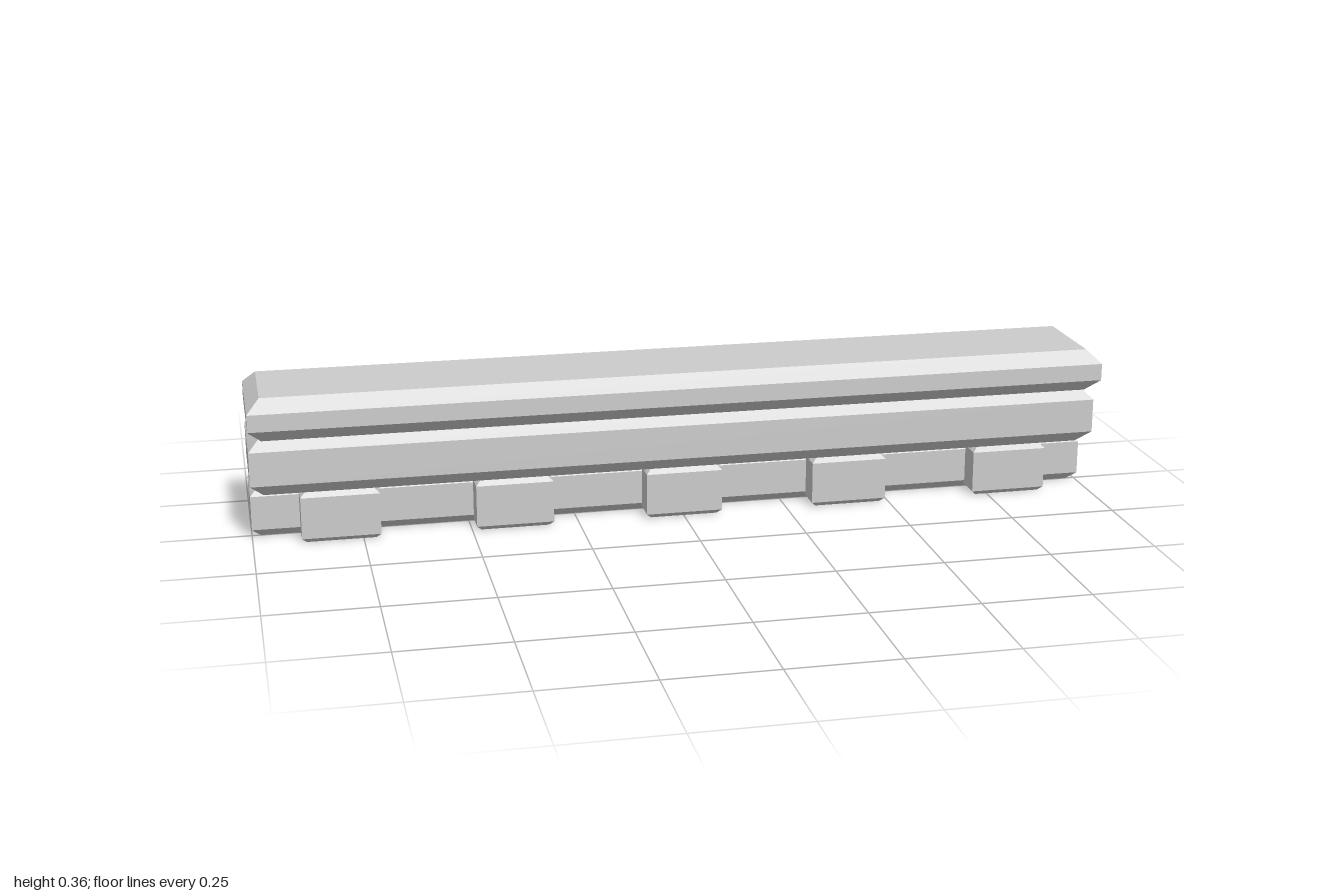
import * as THREE from 'three';

const material = new THREE.MeshStandardMaterial({ color: 0xcccccc, flatShading: true });

// Box whose top and bottom rims are chamfered by c, vertical edges left sharp
function chamferedSlab(name, [x0, x1], [y0, y1], [z0, z1], c) {
  const w = x1 - x0, h = y1 - y0, d = z1 - z0;
  const box = new THREE.BoxGeometry(w, h, d, 1, 3, 1);
  const p = box.attributes.position;
  for (let i = 0; i < p.count; i++) {
    const x = p.getX(i), y = p.getY(i), z = p.getZ(i);
    if (Math.abs(y) > h / 4) {
      p.setXYZ(i, x - Math.sign(x) * c, y, z - Math.sign(z) * c);
    } else {
      p.setY(i, Math.sign(y) * (h / 2 - c));
    }
  }
  const geometry = box.toNonIndexed();
  geometry.computeVertexNormals();
  const mesh = new THREE.Mesh(geometry, material);
  mesh.name = name;
  mesh.position.set((x0 + x1) / 2, (y0 + y1) / 2, (z0 + z1) / 2);
  return mesh;
}

export function createModel() {
  const group = new THREE.Group();
  group.name = 'cornice';

  // Three stacked mouldings, flush at the back and stepping forward going up
  group.add(
    chamferedSlab('lowerBand', [-1, 1], [0, 0.12], [-0.14, 0.02], 0.02),
    chamferedSlab('middleBand', [-1, 1], [0.12, 0.26], [-0.14, 0.1], 0.03),
    chamferedSlab('topSlab', [-1, 1], [0.26, 0.36], [-0.14, 0.14], 0.03)
  );

  // Row of dentil blocks along the front of the lower band
  const dentils = new THREE.Group();
  dentils.name = 'dentils';
  for (let i = -2; i <= 2; i++) {
    const x = i * 0.4;
    dentils.add(chamferedSlab('dentil', [x - 0.09, x + 0.09], [0, 0.12], [-0.04, 0.08], 0.011));
  }
  group.add(dentils);

  return group;
}
